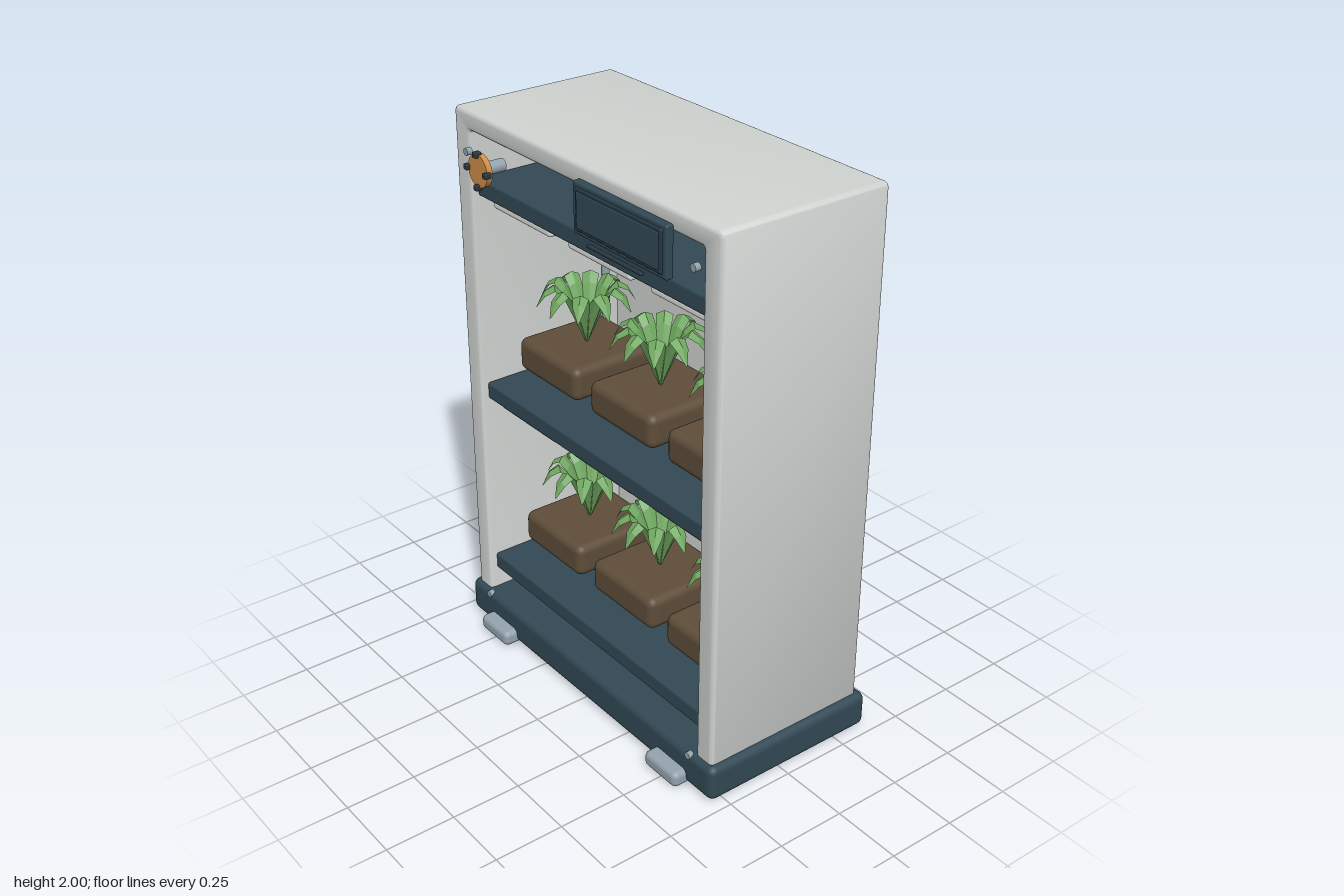
import * as THREE from 'three';
import { toCreasedNormals } from 'three/addons/utils/BufferGeometryUtils.js';
import { RoundedBoxGeometry } from 'three/addons/geometries/RoundedBoxGeometry.js';

const mat = (name, color, extra = {}) => {
  const m = new THREE.MeshStandardMaterial({ color, ...extra });
  m.name = name;
  return m;
};

const shellGrey = mat('shell grey', 0xd0d4d1);
const slate = mat('slate', 0x324955);
const screenSlate = mat('screen slate', 0x263a45);
const steel = mat('steel', 0x93a3ad);
const copper = mat('copper', 0xcf8d48);
const soilBrown = mat('soil brown', 0x5e4d39);
const leafGreen = mat('leaf green', 0x6fa75f, { side: THREE.DoubleSide, flatShading: true });
const lampWhite = mat('lamp white', 0xdcdfdb);
const gripDark = mat('grip dark', 0x2a343a);

function add(parent, name, geometry, material, x = 0, y = 0, z = 0) {
  const m = new THREE.Mesh(geometry, material);
  m.name = name;
  m.position.set(x, y, z);
  parent.add(m);
  return m;
}

// Rounded box given by its minimum and maximum along each axis
function block(parent, name, material, [x0, x1], [y0, y1], [z0, z1], r) {
  return add(parent, name, new RoundedBoxGeometry(x1 - x0, y1 - y0, z1 - z0, 3, r), material,
    (x0 + x1) / 2, (y0 + y1) / 2, (z0 + z1) / 2);
}

function roundedRect(target, x0, y0, x1, y1, r) {
  target.moveTo(x0 + r, y0);
  target.lineTo(x1 - r, y0);
  target.absarc(x1 - r, y0 + r, r, -Math.PI / 2, 0);
  target.lineTo(x1, y1 - r);
  target.absarc(x1 - r, y1 - r, r, 0, Math.PI / 2);
  target.lineTo(x0 + r, y1);
  target.absarc(x0 + r, y1 - r, r, Math.PI / 2, Math.PI);
  target.lineTo(x0, y0 + r);
  target.absarc(x0 + r, y0 + r, r, Math.PI, Math.PI * 1.5);
  return target;
}

// Open-fronted case: a bevelled frame running the full depth
function caseGeometry() {
  const shape = roundedRect(new THREE.Shape(), -0.69, 0.04, 0.69, 2, 0.02);
  shape.holes.push(roundedRect(new THREE.Path(), -0.608, 0.09, 0.608, 1.93, 0.01));
  const b = 0.015;
  const g = new THREE.ExtrudeGeometry(shape, {
    depth: 0.64 - 2 * b, bevelEnabled: true, bevelSize: b, bevelThickness: b,
    bevelOffset: -b, bevelSegments: 3, curveSegments: 4,
  });
  g.translate(0, 0, -0.355 + b);
  return toCreasedNormals(g, 0.6);
}

// Arching leaves folded along the midrib: [radius, height, half width]
function plantGeometry(count = 10) {
  const ribs = [
    [0.004, 0, 0.003], [0.045, 0.1, 0.016], [0.08, 0.19, 0.026],
    [0.11, 0.222, 0.029], [0.145, 0.2, 0.022], [0.173, 0.145, 0.002],
  ];
  const pos = [], index = [];
  for (let i = 0; i < count; i++) {
    const a = ((i + 0.25) / count) * Math.PI * 2;
    const c = Math.cos(a), s = Math.sin(a), start = pos.length / 3;
    ribs.forEach(([r, y, w], k) => {
      for (const side of [-1, 0, 1]) {
        const drop = side ? w * 0.45 : 0;
        pos.push(c * r - s * w * side, y - drop * (k > 1 ? 1 : 0.3), s * r + c * w * side);
      }
      if (k === 0) return;
      for (let j = 0; j < 2; j++) {
        const p = start + (k - 1) * 3 + j, q = p + 3;
        index.push(p, p + 1, q, p + 1, q + 1, q);
      }
    });
  }
  const g = new THREE.BufferGeometry();
  g.setAttribute('position', new THREE.Float32BufferAttribute(pos, 3));
  g.setIndex(index);
  const flat = g.toNonIndexed();
  flat.computeVertexNormals();
  return flat;
}

export function createModel() {
  const model = new THREE.Group();
  model.name = 'plantCabinet';

  // Case, back wall and plinth
  add(model, 'case', caseGeometry(), shellGrey);
  add(model, 'backWall', new THREE.BoxGeometry(1.3, 1.88, 0.04), shellGrey, 0, 1.01, -0.333);
  block(model, 'base', slate, [-0.715, 0.715], [0.004, 0.137], [-0.383, 0.305], 0.028);

  // Feet
  for (const x of [-0.5, 0.5]) {
    block(model, 'frontFoot', steel, [x - 0.085, x + 0.085], [0, 0.06], [0.2, 0.355], 0.022);
    block(model, 'backFoot', steel, [x - 0.085, x + 0.085], [0, 0.06], [-0.385, -0.23], 0.022);
  }

  // Shelves
  for (const y of [0.22, 0.935, 1.7]) {
    block(model, 'shelf', slate, [-0.608, 0.608], [y, y + 0.065], [-0.314, 0.26], 0.01);
  }

  // Two growing tiers: soil blocks, plants and lamps
  const leaves = plantGeometry();
  for (const y of [0.305, 1.02]) {
    for (const i of [-1, 0, 1]) {
      const x = i * 0.42;
      block(model, 'soilBlock', soilBrown, [x - 0.173, x + 0.173], [y, y + 0.125], [-0.22, 0.135], 0.03);
      add(model, 'plant', leaves, leafGreen, x, y + 0.125, -0.04);
      const lx = i * 0.431, ly = y + (y < 1 ? 0.577 : 0.625);
      block(model, 'lamp', lampWhite, [lx - 0.166, lx + 0.166], [ly, ly + 0.03], [0.11, 0.21], 0.012);
    }
  }

  // Water pipe at the back
  add(model, 'waterPipe', new THREE.CylinderGeometry(0.015, 0.015, 1.31, 16), steel, -0.592, 0.935, -0.25);

  // Corner screws
  const screw = new THREE.CylinderGeometry(0.013, 0.013, 0.02, 16).rotateX(Math.PI / 2);
  for (const x of [-0.592, 0.592]) {
    for (const y of [0.127, 1.868]) add(model, 'screw', screw, steel, x, y, 0.299);
  }

  // Control display
  block(model, 'displayHousing', slate, [0.015, 0.475], [1.785, 1.957], [0.283, 0.312], 0.008);
  block(model, 'displayBezel', screenSlate, [0.033, 0.457], [1.8, 1.942], [0.3, 0.318], 0.006);
  block(model, 'displayScreen', slate, [0.045, 0.445], [1.812, 1.93], [0.312, 0.322], 0.003);
  block(model, 'displayLip', screenSlate, [0.11, 0.38], [1.773, 1.783], [0.318, 0.332], 0.003);

  // Valve with hand wheel
  const valve = new THREE.Group();
  valve.name = 'valve';
  valve.position.set(-0.422, 1.867, 0);
  model.add(valve);
  add(valve, 'valveStem', new THREE.CylinderGeometry(0.022, 0.022, 0.08, 20).rotateX(Math.PI / 2), steel, 0, 0, 0.315);
  add(valve, 'handWheel', new THREE.CylinderGeometry(0.056, 0.056, 0.02, 28).rotateX(Math.PI / 2), copper, 0, 0, 0.361);
  for (let i = 0; i < 4; i++) {
    const a = (i * Math.PI) / 2;
    add(valve, 'wheelGrip', new RoundedBoxGeometry(0.02, 0.02, 0.026, 2, 0.004), gripDark,
      Math.cos(a) * 0.055, Math.sin(a) * 0.055, 0.372);
  }

  return model;
}
